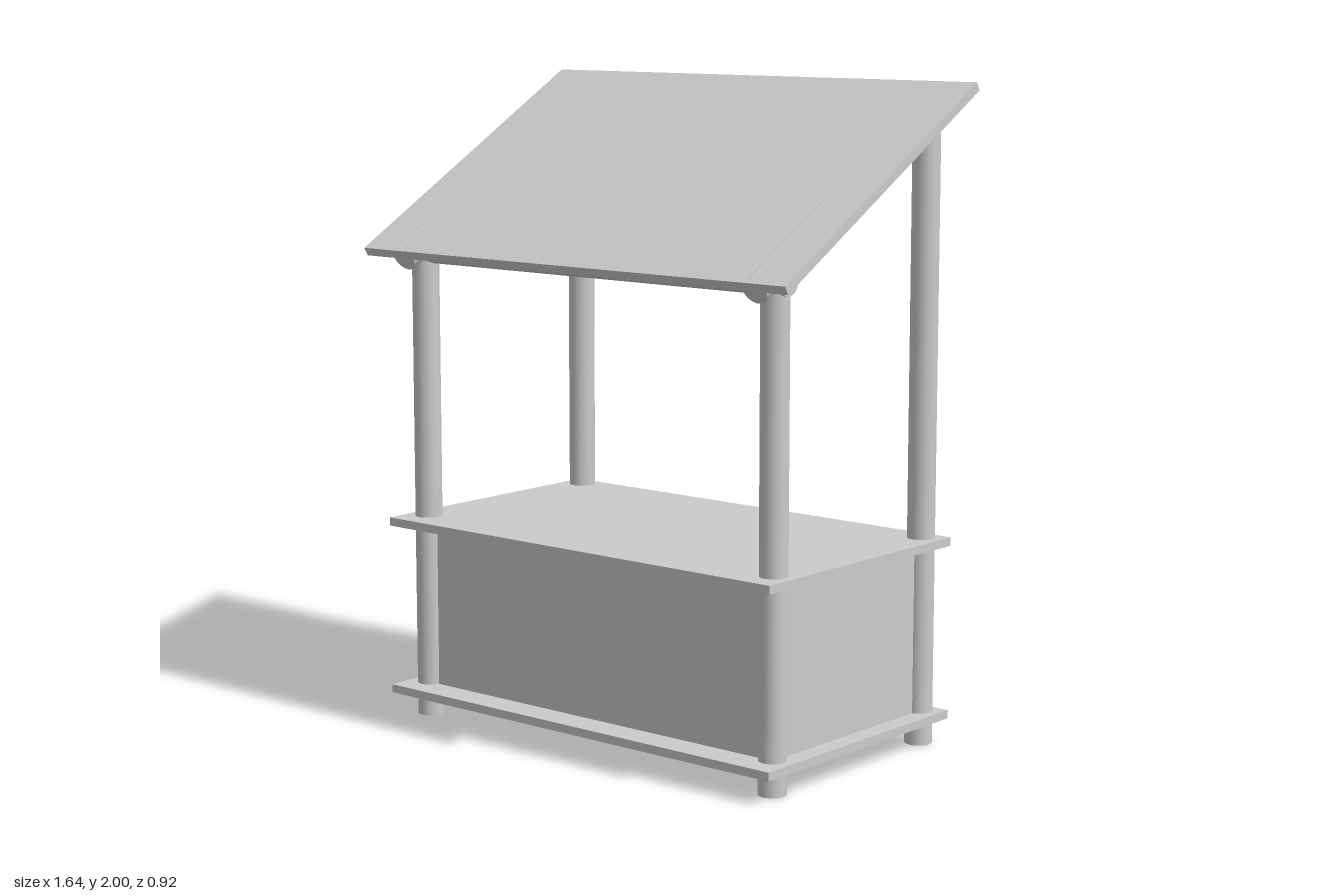
import * as THREE from 'three';

export function createModel() {
  const group = new THREE.Group();
  const material = new THREE.MeshStandardMaterial({ color: 0xcccccc });
  const R = 0.042, POST_X = 0.687, FRONT_Z = 0.33, BACK_Z = -0.387;
  const SLOPE = Math.PI / 6;

  function add(name, geometry, x, y, z) {
    const mesh = new THREE.Mesh(geometry, material);
    mesh.name = name;
    mesh.position.set(x, y, z);
    group.add(mesh);
    return mesh;
  }
  const box = (name, w, h, d, x, y, z) => add(name, new THREE.BoxGeometry(w, h, d), x, y, z);

  // Round pole between two points
  function pole(name, from, to) {
    const a = new THREE.Vector3(...from), b = new THREE.Vector3(...to);
    const mid = a.clone().add(b).multiplyScalar(0.5);
    const mesh = add(name, new THREE.CylinderGeometry(R, R, a.distanceTo(b), 32), mid.x, mid.y, mid.z);
    mesh.quaternion.setFromUnitVectors(new THREE.Vector3(0, 1, 0), b.sub(a).normalize());
  }

  // Posts, rafters and side panels, mirrored left and right
  for (const side of [1, -1]) {
    const label = side > 0 ? 'left' : 'right';
    const x = side * POST_X;
    pole(label + 'FrontPost', [x, 0, FRONT_Z], [x, 1.474, FRONT_Z]);
    pole(label + 'BackPost', [x, 0, BACK_Z], [x, 1.91, BACK_Z]);
    pole(label + 'Rafter', [x, 1.452, 0.423], [x, 1.937, -0.418]);
    box(label + 'SidePanel', 0.012, 0.512, FRONT_Z - BACK_Z, x, 0.355, (FRONT_Z + BACK_Z) / 2);
  }

  // Cross beams under the roof
  pole('frontBeam', [-0.735, 1.474, FRONT_Z], [0.735, 1.474, FRONT_Z]);
  pole('backBeam', [-0.735, 1.937, -0.418], [0.735, 1.937, -0.418]);

  // Bottom shelf, counter top and front panel; the back stays open
  box('bottomShelf', 1.51, 0.026, 0.88, 0, 0.087, -0.005);
  box('counterTop', 1.51, 0.026, 0.88, 0, 0.623, -0.005);
  box('frontPanel', 2 * POST_X, 0.512, 0.012, 0, 0.355, FRONT_Z);

  // Sloping roof board
  const roof = box('roof', 1.645, 0.028, 1.045, 0, 1.727, 0.001);
  roof.rotation.x = SLOPE;

  return group;
}
